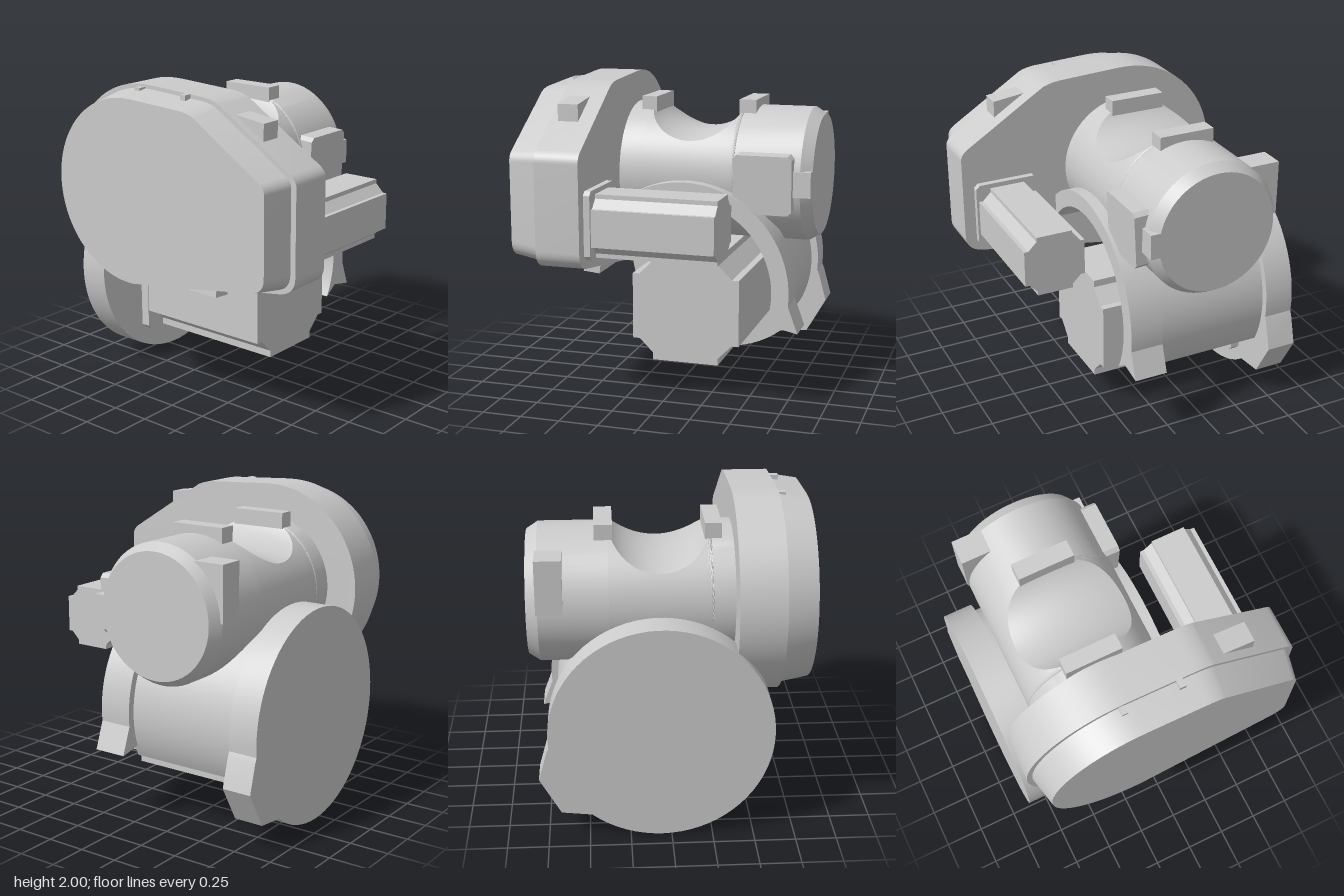
import * as THREE from 'three';
import { toCreasedNormals } from 'three/addons/utils/BufferGeometryUtils.js';

const material = new THREE.MeshStandardMaterial({ color: 0xcccccc, side: THREE.DoubleSide });

export function createModel() {
  const model = new THREE.Group();

  const add = (name, geometry) => {
    const mesh = new THREE.Mesh(geometry, material);
    mesh.name = name;
    model.add(mesh);
    return mesh;
  };
  const box = (name, x0, x1, y0, y1, z0, z1) => {
    const mesh = add(name, new THREE.BoxGeometry(x1 - x0, y1 - y0, z1 - z0));
    mesh.position.set((x0 + x1) / 2, (y0 + y1) / 2, (z0 + z1) / 2);
    return mesh;
  };
  const extrude = (shape, depth) =>
    new THREE.ExtrudeGeometry(shape, { depth, bevelEnabled: false, curveSegments: 32 });
  // Shape in x, y, extruded from z0 to z1
  const alongZ = (name, shape, z0, z1) =>
    add(name, toCreasedNormals(extrude(shape, z1 - z0).translate(0, 0, z0), 0.4));
  // Shape in -z, y, extruded from x0 to x1
  const alongX = (name, shape, x0, x1) =>
    add(name, toCreasedNormals(extrude(shape, x1 - x0).rotateY(Math.PI / 2).translate(x0, 0, 0), 0.4));
  const polygon = (points) => new THREE.Shape(points.map(([x, y]) => new THREE.Vector2(x, y)));

  // Square section whose four corners are stepped and chamfered
  const motorSection = (cx, cy, h, c) => {
    const corner = [[h, h - c], [h - c / 3, h - c], [h - c, h - c / 3], [h - c, h]];
    const points = [];
    for (let q = 0; q < 4; q++) {
      for (const [x, y] of corner) {
        const [u, v] = [[x, y], [-y, x], [-x, -y], [y, -x]][q];
        points.push([cx + u, cy + v]);
      }
    }
    return polygon(points);
  };
  const chamferedSquare = (cx, cy, h, c) => polygon(
    [[h, h - c], [h - c, h], [c - h, h], [-h, h - c], [-h, c - h], [c - h, -h], [h - c, -h], [h, c - h]]
      .map(([x, y]) => [cx + x, cy + y]));

  // Main horizontal barrel with a scooped saddle on top
  add('barrel', barrelGeometry());
  for (const [x0, x1] of [[-0.32, -0.22], [0.33, 0.44]]) box('saddlePad', x0, x1, 1.75, 1.85, -0.44, -0.08);

  // Side housing: round at the back, tapering towards the front
  const housing = new THREE.Shape();
  housing.moveTo(-0.89, 1.02);
  housing.lineTo(-0.89, 1.55);
  housing.quadraticCurveTo(-0.89, 1.59, -0.85, 1.62);
  housing.lineTo(-0.33, 1.95);
  housing.quadraticCurveTo(-0.28, 1.975, -0.2, 1.98);
  housing.lineTo(0.2, 2);
  housing.absarc(0.25, 1.37, 0.63, Math.PI / 2, -Math.PI / 2 - 0.05, true);
  housing.lineTo(-0.77, 0.9);
  housing.quadraticCurveTo(-0.89, 0.92, -0.89, 1.02);
  alongX('sideHousing', housing, -0.67, -0.39);

  // Housing cover, narrowing outwards
  const cover = extrude(housing, 0.19).rotateY(Math.PI / 2).translate(-0.86, 0, 0);
  const p = cover.attributes.position;
  for (let i = 0; i < p.count; i++) {
    const s = p.getX(i) < -0.8 ? 0.912 : 0.96;
    p.setY(i, 1.38 + (p.getY(i) - 1.38) * s);
    p.setZ(i, p.getZ(i) * s);
  }
  add('housingCover', toCreasedNormals(cover, 0.4));
  for (const z of [-0.26, 0.1]) box('coverTab', -0.72, -0.66, 1.93, 1.985, z - 0.02, z + 0.02);
  alongX('housingLug', polygon([[-0.62, 1.75], [-0.38, 1.75], [-0.38, 1.9], [-0.62, 1.87]]), -0.62, -0.49);

  // Small motor on the side housing
  alongX('sideMotorFlange', chamferedSquare(-0.605, 1.17, 0.21, 0.025), -0.4, -0.35);
  alongX('sideMotor', motorSection(-0.605, 1.155, 0.195, 0.08), -0.36, 0.41);

  // Large motor below the barrel
  alongZ('lowerMotorFlange', chamferedSquare(0.085, 0.55, 0.355, 0.03), -0.72, -0.64);
  alongZ('lowerMotor', motorSection(0.085, 0.55, 0.35, 0.135), -0.65, 0.3);

  // Round back plate with a lobe at the lower left
  const cx = 0.06, cy = 0.68, r = 0.68;
  const back = new THREE.Shape();
  back.absarc(cx, cy, r, -0.1, Math.PI * 1.715, false);
  back.lineTo(0.67, 0.17);
  back.lineTo(0.8, 0.4);
  back.lineTo(0.75, 0.58);
  alongZ('backPlate', back, -0.89, -0.7);

  // Curved shell around the motor, ending in a hooked hood
  const left = Math.PI - 0.09;
  const shell = new THREE.Shape();
  shell.absarc(cx, cy, 0.635, left, -0.47, true);
  shell.absarc(cx, cy, 0.57, -0.53, left, false);
  alongZ('motorShell', shell, -0.72, 0.06);
  const hood = new THREE.Shape();
  hood.absarc(cx, cy, r, left, -0.1, true);
  hood.lineTo(0.8, 0.44);
  hood.lineTo(0.65, 0.47);
  hood.absarc(cx, cy, 0.57, -0.5, left, false);
  alongZ('hood', hood, 0.04, 0.255);

  // Fittings at the free end of the barrel
  const bevel = 0.025;
  const panel = alongZ('controlPanel', polygon([
    [0.37 + bevel, 1.18], [0.74 - bevel, 1.18], [0.74, 1.18 + bevel], [0.74, 1.55 - bevel],
    [0.74 - bevel, 1.55], [0.37 + bevel, 1.55], [0.37, 1.55 - bevel], [0.37, 1.18 + bevel],
  ].map(([x, y]) => [x, y - 1.365])), -0.055, 0.055);
  panel.position.set(0, 1.365, 0.18);
  panel.rotation.x = 0.05;
  box('endLatch', 0.74, 0.85, 1.29, 1.45, 0.08, 0.19);
  box('rearBlock', 0.63, 0.79, 1.38, 1.72, -0.69, -0.46);

  return model;
}

// Barrel built from cross-sections along x; the top is cut by a cylinder
function barrelGeometry() {
  const yc = 1.37, zc = -0.25, arcSteps = 64, floorSteps = 12;
  const sections = [[-0.45, 0.43]];
  for (let i = 0; i <= 32; i++) sections.push([0.05 - 0.3098 * Math.cos((i / 32) * Math.PI), 0.43]);
  sections.push([0.78, 0.43], [0.85, 0.385]);

  const positions = [], index = [], n = arcSteps + floorSteps;
  for (const [x, r] of sections) {
    const d = Math.abs(x - 0.05);
    const h = d < 0.31 ? Math.min(r, 1.94 - Math.sqrt(0.34 ** 2 - d * d) - yc) : r;
    const start = Math.acos(h / r), half = r * Math.sin(start);
    for (let j = 0; j < arcSteps; j++) {
      const a = start + (j / (arcSteps - 1)) * (2 * Math.PI - 2 * start);
      positions.push(x, yc + r * Math.cos(a), zc + r * Math.sin(a));
    }
    // Slightly crowned saddle floor
    for (let j = 0; j < floorSteps; j++) {
      const s = -1 + (2 * (j + 1)) / (floorSteps + 1);
      positions.push(x, yc + h + 0.22 * (r - h) * (1 - s * s), zc + half * s);
    }
  }
  for (let i = 0; i < sections.length - 1; i++) {
    for (let j = 0; j < n; j++) {
      const a = i * n + j, b = i * n + ((j + 1) % n);
      index.push(a, b, a + n, b, b + n, a + n);
    }
  }
  // End cap
  const last = (sections.length - 1) * n;
  positions.push(0.85, yc, zc);
  for (let j = 0; j < n; j++) index.push(last + n, last + j, last + ((j + 1) % n));

  const geometry = new THREE.BufferGeometry();
  geometry.setAttribute('position', new THREE.Float32BufferAttribute(positions, 3));
  geometry.setIndex(index);
  return toCreasedNormals(geometry, 0.5);
}
